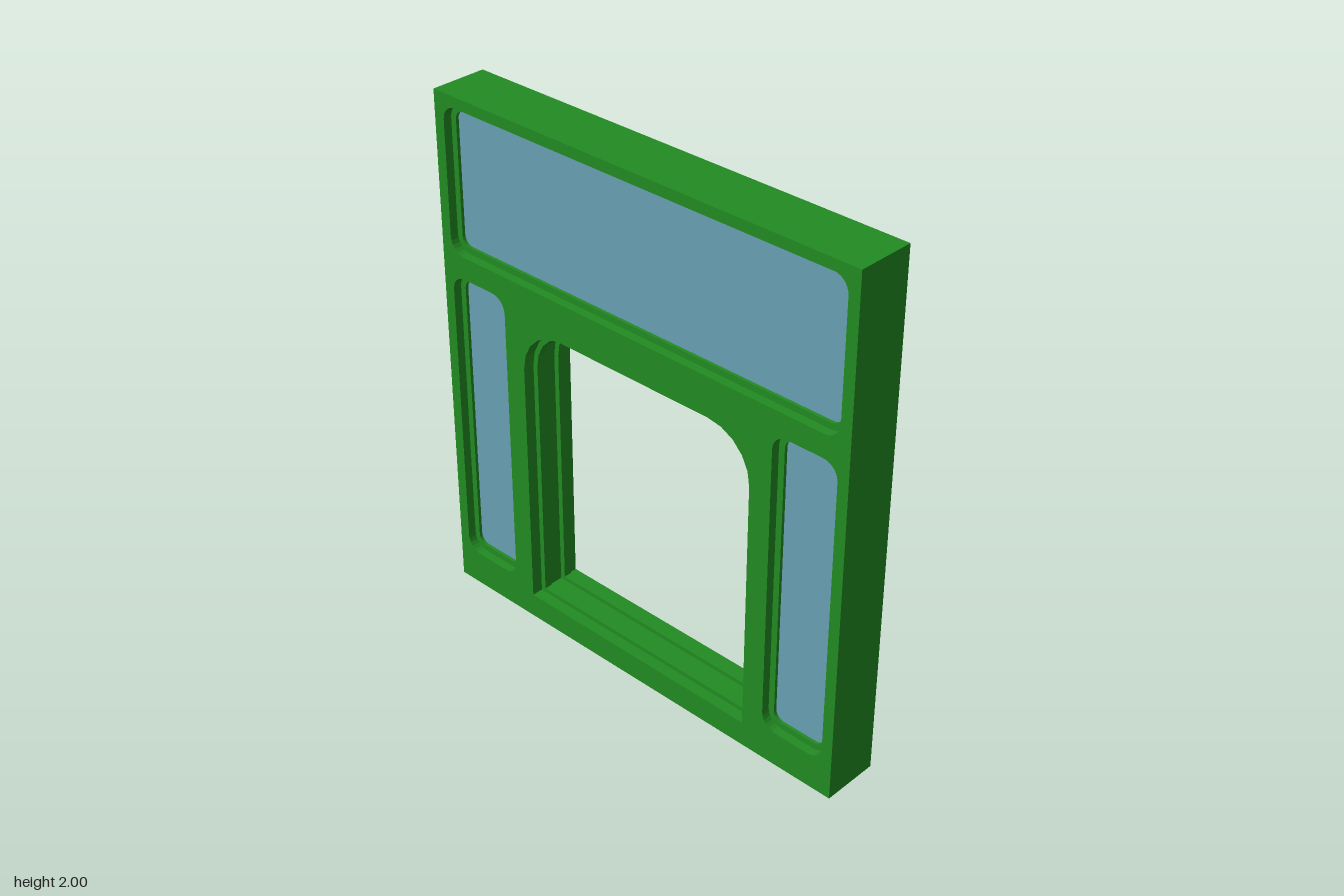
import * as THREE from 'three';

const HALF = 0.11;   // half the wall thickness (x)
const LIP = 0.065;   // half the thickness of the inner lips
const green = new THREE.MeshStandardMaterial({ color: 0x228b22, flatShading: true });
const blue = new THREE.MeshStandardMaterial({ color: 0x68a2b4, flatShading: true });

// Outline of a rectangle with separate bottom and top corner radii
function outline(x0, x1, y0, y1, rBottom, rTop, steps) {
  const pts = [];
  const corner = (cx, cy, r, start) => {
    if (r === 0) { pts.push(new THREE.Vector2(cx, cy)); return; }
    for (let i = 0; i <= steps; i++) {
      const a = start + (i / steps) * Math.PI / 2;
      pts.push(new THREE.Vector2(cx + r * Math.cos(a), cy + r * Math.sin(a)));
    }
  };
  corner(x1 - rTop, y1 - rTop, rTop, 0);
  corner(x0 + rTop, y1 - rTop, rTop, Math.PI / 2);
  corner(x0 + rBottom, y0 + rBottom, rBottom, Math.PI);
  corner(x1 - rBottom, y0 + rBottom, rBottom, Math.PI * 1.5);
  return pts;
}

// Slab between two x positions, its outline lying in the side plane
function slab(name, pts, holes, xMin, xMax, material) {
  const shape = new THREE.Shape(pts);
  holes.forEach((h) => shape.holes.push(new THREE.Path(h)));
  const geo = new THREE.ExtrudeGeometry(shape, { depth: xMax - xMin, bevelEnabled: false });
  geo.translate(0, 0, xMin);
  geo.rotateY(Math.PI / 2);
  const mesh = new THREE.Mesh(geo, material);
  mesh.name = name;
  return mesh;
}

export function createModel() {
  const group = new THREE.Group();
  group.name = 'doorwayWall';

  const windows = [
    { name: 'topWindow', box: [-0.865, 0.865, 1.405, 1.96] },
    { name: 'frontWindow', box: [-0.865, -0.605, 0.137, 1.318] },
    { name: 'backWindow', box: [0.605, 0.865, 0.137, 1.318] },
  ];
  const inset = 0.024;
  for (const w of windows) {
    const [a, b, c, d] = w.box;
    w.outer = outline(a, b, c, d, 0.06, 0.06, 6);
    w.inner = outline(a + inset, b - inset, c + inset, d - inset, 0.036, 0.036, 6);
  }
  const doorOuter = outline(-0.517, 0.517, 0.097, 1.255, 0, 0.18, 5);
  const doorInner = outline(-0.497, 0.497, 0.113, 1.235, 0, 0.16, 5);

  // Wall with the door and window openings
  const wall = outline(-0.908, 0.908, 0, 2, 0, 0, 1);
  group.add(slab('wall', wall, [doorOuter, ...windows.map((w) => w.outer)], -HALF, HALF, green));

  // Recessed window lips and panes
  for (const w of windows) {
    group.add(slab(w.name + 'Lip', w.outer, [w.inner], -LIP - 0.012, LIP + 0.012, green));
    group.add(slab(w.name + 'Pane', w.inner, [], -LIP, LIP, blue));
  }

  // Two lips round the doorway with a groove between them
  for (const s of [-1, 1]) {
    const mid = s * 0.05;
    group.add(slab('doorwayLip', doorOuter, [doorInner], mid - 0.016, mid + 0.016, green));
  }
  return group;
}
